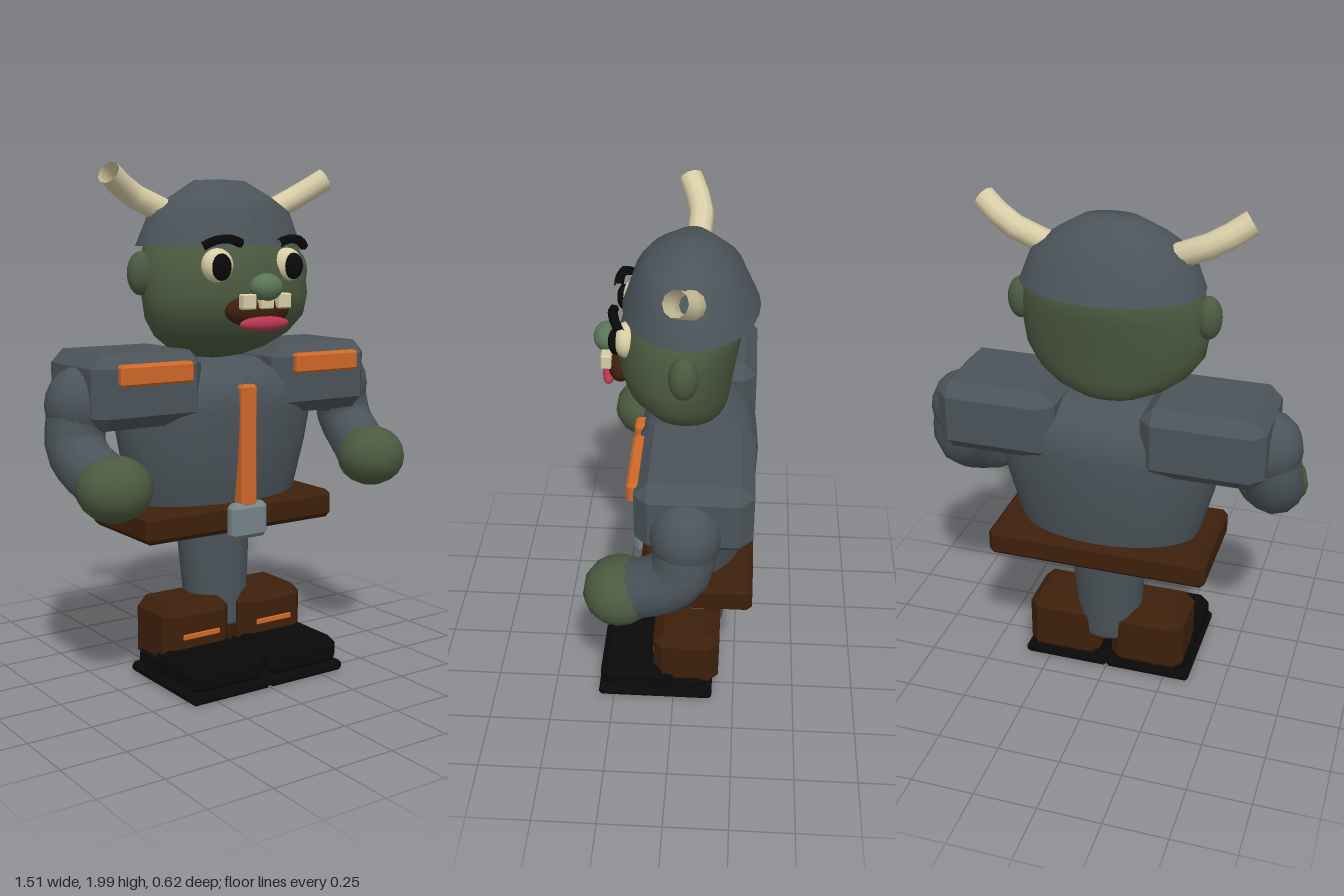
import * as THREE from 'three';
import { ConvexGeometry } from 'three/addons/geometries/ConvexGeometry.js';

const mat = (name, color, side = THREE.FrontSide) => {
  const m = new THREE.MeshStandardMaterial({ color, side });
  m.name = name;
  return m;
};

export function createModel() {
  const model = new THREE.Group();
  model.name = 'hornedOgre';

  const steel = mat('slate grey', 0x4b545a);
  const skin = mat('green skin', 0x4c5a40);
  const noseGreen = mat('pale green', 0x5a7557);
  const bone = mat('bone', 0xd8cda6, THREE.DoubleSide);
  const black = mat('black', 0x090909);
  const leather = mat('brown leather', 0x3d200b);
  const orange = mat('orange trim', 0xd06829);
  const metal = mat('buckle metal', 0x76848a);
  const red = mat('lip red', 0xb83650);

  const add = (name, geometry, material) => {
    const mesh = new THREE.Mesh(geometry, material);
    mesh.name = name;
    model.add(mesh);
  };

  // Box with chamfered edges, given by its limits
  const box = (name, material, [x0, x1], [y0, y1], [z0, z1], b) => {
    const c = [(x0 + x1) / 2, (y0 + y1) / 2, (z0 + z1) / 2];
    const h = [(x1 - x0) / 2, (y1 - y0) / 2, (z1 - z0) / 2];
    const points = [];
    for (const sx of [-1, 1]) for (const sy of [-1, 1]) for (const sz of [-1, 1]) {
      for (let axis = 0; axis < 3; axis++) {
        const p = [sx, sy, sz].map((s, i) => c[i] + s * (h[i] - (i === axis ? 0 : b)));
        points.push(new THREE.Vector3(...p));
      }
    }
    add(name, new ConvexGeometry(points), material);
  };

  const ball = (name, material, pos, radii, w = 16, h = 12) => {
    const g = new THREE.SphereGeometry(1, w, h);
    g.scale(...radii);
    g.translate(...pos);
    add(name, g, material);
  };

  const tube = (name, material, pts, radius, segs = 8, sides = 12) => {
    const curve = new THREE.CatmullRomCurve3(pts.map(p => new THREE.Vector3(...p)));
    add(name, new THREE.TubeGeometry(curve, segs, radius, sides), material);
  };

  // Loft through elliptical rings: y, half width, back z, front z
  const loft = (name, material, rings) => {
    const g = new THREE.LatheGeometry(rings.map(r => new THREE.Vector2(1, r[0])), 28);
    const p = g.attributes.position;
    for (let i = 0; i < p.count; i++) {
      const [, rx, back, front] = rings[i % rings.length];
      p.setX(i, p.getX(i) * rx);
      p.setZ(i, (back + front) / 2 + p.getZ(i) * (front - back) / 2);
    }
    g.computeVertexNormals();
    add(name, g, material);
  };

  // Torso, its underside and the trunk of the legs
  loft('torso', steel, [[0.56, 0.31, -0.255, 0.05], [0.72, 0.37, -0.288, 0.115],
    [0.9, 0.42, -0.308, 0.137], [1.06, 0.452, -0.313, 0.148], [1.14, 0.44, -0.306, 0.142],
    [1.21, 0.36, -0.26, 0.1], [1.25, 0.2, -0.18, 0.01], [1.255, 0.001, -0.08, -0.079]]);
  loft('torsoBottom', steel, [[0.56, 0.001, -0.1, -0.099], [0.56, 0.31, -0.255, 0.05]]);
  loft('legTrunk', steel, [[0.18, 0.001, -0.08, -0.079], [0.18, 0.125, -0.195, 0.035],
    [0.19, 0.126, -0.196, 0.035], [0.57, 0.155, -0.235, 0.035]]);

  // Belt, buckle and front strip
  box('belt', leather, [-0.44, 0.44], [0.585, 0.7], [-0.31, 0.13], 0.02);
  box('buckle', metal, [-0.083, 0.083], [0.565, 0.705], [0.11, 0.175], 0.018);
  box('frontStrip', orange, [-0.036, 0.036], [0.69, 1.165], [0.1, 0.165], 0.01);

  // Head
  loft('head', skin, [[1.25, 0.001, -0.08, -0.079], [1.265, 0.13, -0.16, 0.0],
    [1.3, 0.22, -0.19, 0.075], [1.35, 0.295, -0.2, 0.14], [1.42, 0.347, -0.21, 0.197],
    [1.5, 0.36, -0.222, 0.217], [1.6, 0.357, -0.24, 0.21], [1.7, 0.332, -0.25, 0.185],
    [1.78, 0.24, -0.19, 0.1]]);

  // Helmet and its rim
  loft('helmet', steel, [[1.69, 0.35, -0.3, 0.2], [1.82, 0.3, -0.24, 0.155],
    [1.875, 0.215, -0.19, 0.115], [1.938, 0.11, -0.12, 0.02], [1.944, 0.001, -0.051, -0.05]]);
  loft('helmetRim', steel, [[1.69, 0.25, -0.2, 0.12], [1.69, 0.35, -0.3, 0.2]]);

  // Nose, mouth, teeth and lip
  ball('nose', noseGreen, [0, 1.54, 0.262], [0.068, 0.052, 0.05]);
  ball('mouth', leather, [0, 1.452, 0.205], [0.143, 0.064, 0.056], 20, 12);
  for (const x of [-0.08, 0, 0.08]) {
    box('tooth', bone, [x - 0.029, x + 0.029], [1.46, 1.517], [0.238, 0.277], 0.005);
  }
  ball('lowerLip', red, [0, 1.405, 0.252], [0.112, 0.028, 0.028]);

  for (const s of [-1, 1]) {
    const mx = (a, b) => (s > 0 ? [a, b] : [-b, -a]);

    // Ears, eyes and brows
    ball('ear', skin, [s * 0.362, 1.59, -0.04], [0.05, 0.082, 0.053]);
    ball('eye', bone, [s * 0.16, 1.62, 0.175], [0.066, 0.064, 0.045]);
    ball('pupil', black, [s * 0.165, 1.615, 0.212], [0.04, 0.05, 0.027]);
    tube('brow', black, [[s * 0.085, 1.7, 0.222], [s * 0.13, 1.716, 0.222],
      [s * 0.19, 1.712, 0.21], [s * 0.232, 1.69, 0.188]], 0.018, 6, 6);

    // Open-ended horn
    tube('horn', bone, [[s * 0.21, 1.805, -0.052], [s * 0.3, 1.845, -0.067],
      [s * 0.39, 1.885, -0.066], [s * 0.5, 1.955, -0.022]], 0.046, 4, 10);

    // Shoulder pad and its trim
    box('shoulderPad', steel, mx(0.165, 0.635), [1.025, 1.305], [-0.3, 0.12], 0.05);
    box('padTrim', orange, mx(0.24, 0.55), [1.19, 1.27], [0.1, 0.148], 0.01);

    // Arm and fist
    ball('shoulder', steel, [s * 0.61, 1.11, -0.063], [0.135, 0.147, 0.128], 14, 10);
    tube('arm', steel, [[s * 0.62, 1.12, -0.065], [s * 0.642, 0.965, -0.045],
      [s * 0.635, 0.895, 0.03], [s * 0.6, 0.835, 0.14]], 0.112, 8, 12);
    ball('fist', skin, [s * 0.602, 0.833, 0.175], [0.143, 0.122, 0.135], 14, 10);

    // Boot, strap, toe cap, heel and sole
    box('boot', leather, mx(0.025, 0.33), [0.05, 0.31], [-0.185, 0.085], 0.04);
    box('bootStrap', orange, mx(0.09, 0.26), [0.176, 0.198], [0.075, 0.09], 0.003);
    box('toeCap', black, mx(0.01, 0.345), [0.025, 0.142], [-0.02, 0.305], 0.035);
    box('heel', black, mx(0.015, 0.342), [0.025, 0.12], [-0.14, 0.1], 0.03);
    box('sole', black, mx(0.001, 0.355), [0, 0.04], [-0.16, 0.312], 0.012);
  }

  return model;
}
